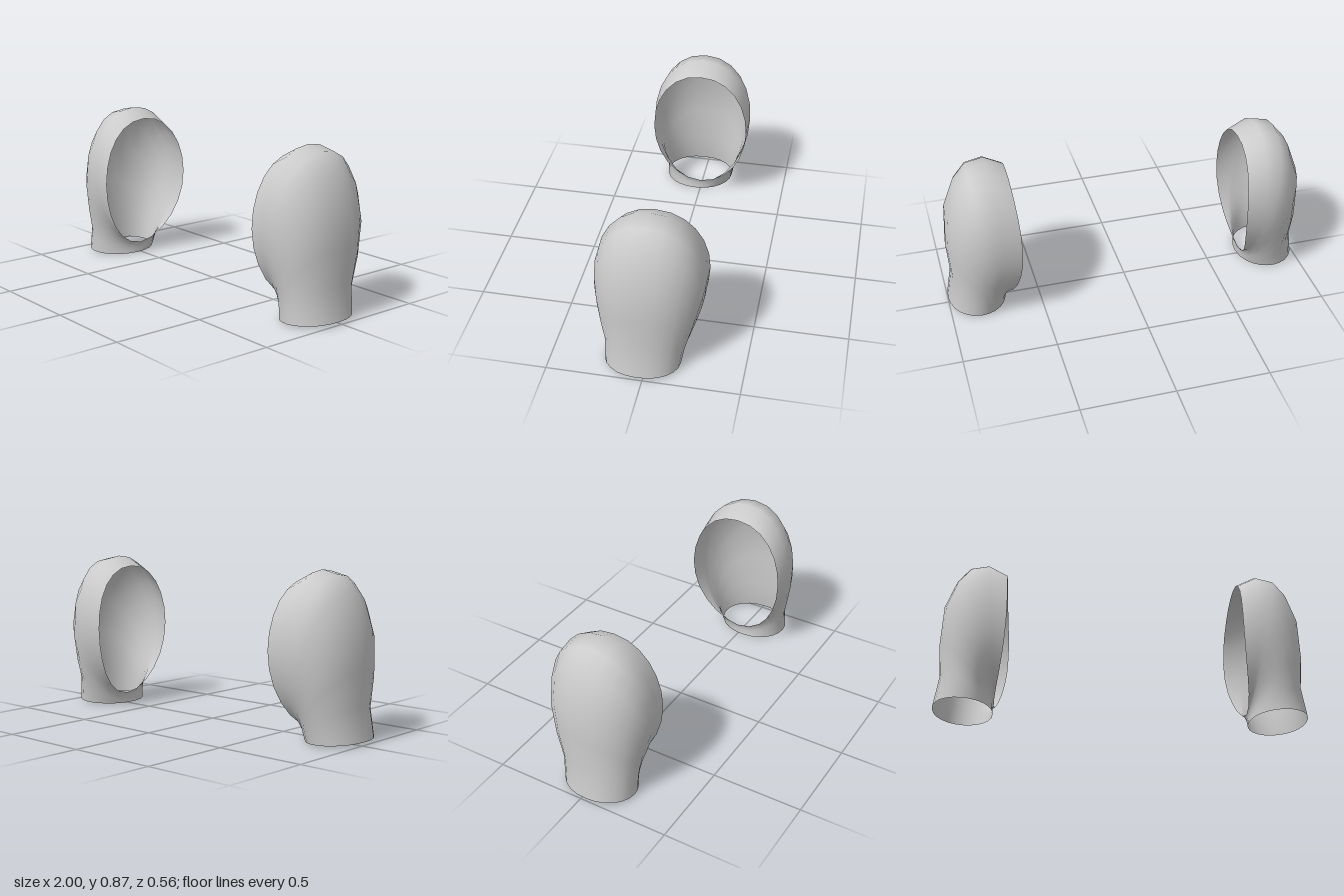
import * as THREE from 'three';

// Rings from the body opening round to the cuff:
// outer point (px, py), underarm point (ux, uy), half width w, z centre, egg power, inward bow
const RINGS = [
  { px: 0.636, py: 0.812, ux: 0.68, uy: 0.06, w: 0.275, zc: -0.003, egg: 0.92, bow: 0.042 },
  { px: 0.74, py: 0.866, ux: 0.682, uy: 0.052, w: 0.282, zc: 0, egg: 0.92, bow: 0 },
  { px: 0.84, py: 0.845, ux: 0.683, uy: 0.045, w: 0.282, zc: 0, egg: 0.92, bow: 0 },
  { px: 0.91, py: 0.76, ux: 0.684, uy: 0.038, w: 0.274, zc: 0.003, egg: 0.93, bow: 0 },
  { px: 0.972, py: 0.6, ux: 0.684, uy: 0.03, w: 0.254, zc: 0.006, egg: 0.94, bow: 0 },
  { px: 0.985, py: 0.38, ux: 0.684, uy: 0.02, w: 0.228, zc: 0.012, egg: 0.96, bow: 0 },
  { px: 0.972, py: 0.19, ux: 0.683, uy: 0.01, w: 0.206, zc: 0.018, egg: 0.98, bow: 0 },
  { px: 1.0, py: 0.016, ux: 0.682, uy: 0, w: 0.198, zc: 0.027, egg: 1, bow: 0 },
];
const SEGMENTS = 24;

// Bent sleeve shell, open at the body and at the cuff
function sleeveGeometry(side) {
  const positions = [];
  const indices = [];
  for (const r of RINGS) {
    for (let j = 0; j < SEGMENTS; j++) {
      const a = (j / SEGMENTS) * Math.PI * 2;
      const sin = Math.sin(a);
      // the back is a little fuller towards the top than the front
      const s = Math.pow((1 - Math.cos(a)) / 2, r.egg - (sin < 0 ? 0.05 : 0));
      const bulge = Math.pow(Math.abs(sin), 0.92);
      const bow = r.bow * sin * sin * (1.5 - s) * (sin < 0 ? 1 : 0.65);
      positions.push(
        side * (THREE.MathUtils.lerp(r.ux, r.px, s) - bow),
        THREE.MathUtils.lerp(r.uy, r.py, s),
        r.zc + r.w * Math.sign(sin) * bulge
      );
    }
  }
  for (let k = 0; k < RINGS.length - 1; k++) {
    for (let j = 0; j < SEGMENTS; j++) {
      const n = (j + 1) % SEGMENTS;
      const a = k * SEGMENTS + j;
      const b = a + SEGMENTS;
      const c = (k + 1) * SEGMENTS + n;
      const d = k * SEGMENTS + n;
      if (side > 0) indices.push(a, b, c, a, c, d);
      else indices.push(a, c, b, a, d, c);
    }
  }
  const geometry = new THREE.BufferGeometry();
  geometry.setAttribute('position', new THREE.Float32BufferAttribute(positions, 3));
  geometry.setIndex(indices);
  geometry.computeVertexNormals();
  return geometry;
}

export function createModel() {
  const group = new THREE.Group();
  group.name = 'sleeves';
  const material = new THREE.MeshStandardMaterial({ color: 0xcccccc, side: THREE.DoubleSide });
  for (const side of [1, -1]) {
    const sleeve = new THREE.Mesh(sleeveGeometry(side), material);
    sleeve.name = side > 0 ? 'leftSleeve' : 'rightSleeve';
    group.add(sleeve);
  }
  return group;
}
